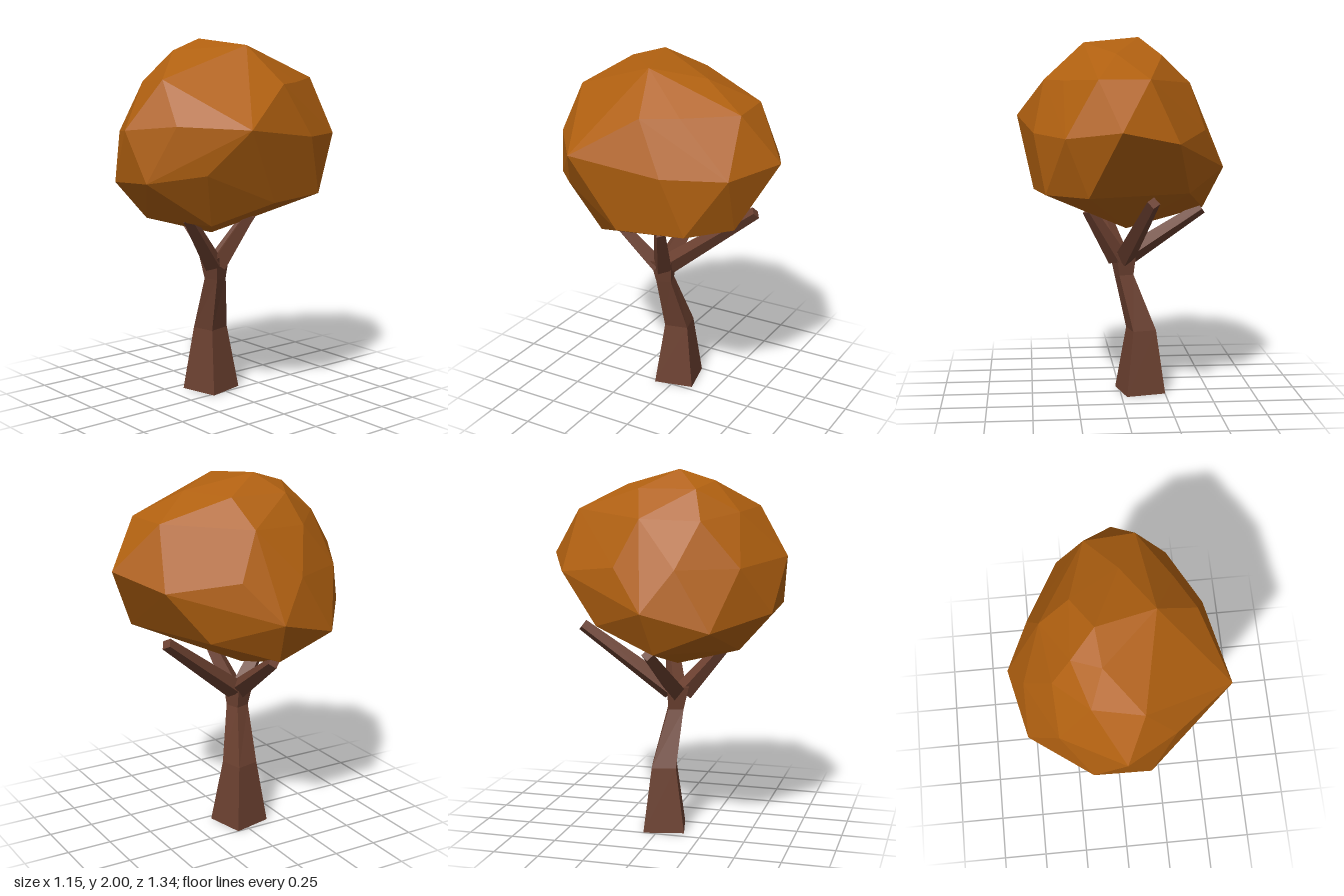
import * as THREE from 'three';
import { ConvexGeometry } from 'three/addons/geometries/ConvexGeometry.js';

const bark = new THREE.MeshStandardMaterial({ color: 0x6b4030, flatShading: true });
const leaf = new THREE.MeshStandardMaterial({ color: 0xb06010, flatShading: true });

// Square column lofted through horizontal sections [x, y, z, radius, turn]
function loft(sections) {
  const pos = [], idx = [], n = 4;
  for (const [x, y, z, r, turn] of sections)
    for (let i = 0; i < n; i++) {
      const a = turn + (i * Math.PI * 2) / n;
      pos.push(x + r * Math.sin(a), y, z + r * Math.cos(a));
    }
  for (let s = 0; s < sections.length - 1; s++)
    for (let i = 0; i < n; i++) {
      const a = s * n + i, b = s * n + (i + 1) % n;
      idx.push(a, b, b + n, a, b + n, a + n);
    }
  const t = (sections.length - 1) * n;
  idx.push(0, 2, 1, 0, 3, 2, t, t + 1, t + 2, t, t + 2, t + 3);
  const g = new THREE.BufferGeometry();
  g.setAttribute('position', new THREE.Float32BufferAttribute(pos, 3));
  g.setIndex(idx);
  const flat = g.toNonIndexed();
  flat.computeVertexNormals();
  return flat;
}

// Four-sided tapering limb between two points
function limb(from, to, r0, r1) {
  const a = new THREE.Vector3(...from), b = new THREE.Vector3(...to);
  const dir = b.clone().sub(a);
  const mesh = new THREE.Mesh(new THREE.CylinderGeometry(r1, r0, dir.length(), 4), bark);
  mesh.position.copy(a).add(b).multiplyScalar(0.5);
  mesh.quaternion.setFromUnitVectors(new THREE.Vector3(0, 1, 0), dir.normalize());
  return mesh;
}

// Crown corners, gathered in rings from the underside to the top
const crownRings = [
  // underside
  [[-0.04, 0.93, 0.07], [0.25, 1.03, 0.3], [-0.14, 1.04, 0.44], [-0.47, 1.05, 0.05]],
  // lower rim
  [[0.48, 1.16, 0.06], [0.42, 1.17, -0.31], [0.2, 1.17, -0.49], [-0.35, 1.17, -0.3],
    [-0.58, 1.28, 0.01], [-0.5, 1.18, 0.36], [-0.17, 1.25, 0.62], [0.13, 1.27, 0.63], [0.37, 1.32, 0.42]],
  // widest girth
  [[0.57, 1.56, 0.29], [0.48, 1.49, -0.2], [0.32, 1.48, -0.51], [0.04, 1.52, -0.67], [-0.27, 1.45, -0.52],
    [-0.45, 1.5, -0.17], [-0.49, 1.5, 0.17], [-0.33, 1.5, 0.48], [0, 1.54, 0.67], [0.26, 1.57, 0.53]],
  // shoulder
  [[0.42, 1.77, -0.05], [0.32, 1.77, -0.23], [0.15, 1.78, -0.49], [-0.12, 1.78, -0.47],
    [-0.38, 1.75, -0.05], [-0.34, 1.74, 0.27], [-0.16, 1.78, 0.44], [0.1, 1.8, 0.5]],
  // top
  [[0.2, 1.97, 0.02], [0.04, 1.91, -0.24], [-0.22, 1.9, -0.1], [-0.24, 1.9, 0.22],
    [-0.09, 1.94, 0.29], [-0.11, 2, 0.1]],
];

export function createModel() {
  const tree = new THREE.Group();
  tree.name = 'tree';

  const trunk = new THREE.Mesh(loft([
    [-0.115, 0, 0.015, 0.16, -0.56],
    [-0.12, 0.36, 0.015, 0.095, -0.56],
    [-0.025, 0.67, 0.055, 0.06, -0.5],
    [-0.02, 0.8, 0.065, 0.085, -0.5],
  ]), bark);
  trunk.name = 'trunk';
  tree.add(trunk);

  // Four branches fanning out from the fork into the crown
  const branches = new THREE.Group();
  branches.name = 'branches';
  const limbs = [
    [[-0.04, 0.77, 0.06], [-0.46, 1.05, 0.02]],
    [[0.01, 0.76, 0.05], [0.18, 1.05, -0.03]],
    [[0, 0.76, 0.09], [0.1, 1.06, 0.34]],
    [[-0.03, 0.77, 0.03], [-0.14, 1.14, -0.45]],
  ];
  limbs.forEach(([from, to], i) => {
    const mesh = limb(from, to, 0.058, 0.035);
    mesh.name = 'branch' + (i + 1);
    branches.add(mesh);
  });
  tree.add(branches);

  const points = crownRings.flat().map((p) => new THREE.Vector3(...p));
  const crown = new THREE.Mesh(new ConvexGeometry(points), leaf);
  crown.name = 'crown';
  tree.add(crown);

  return tree;
}
